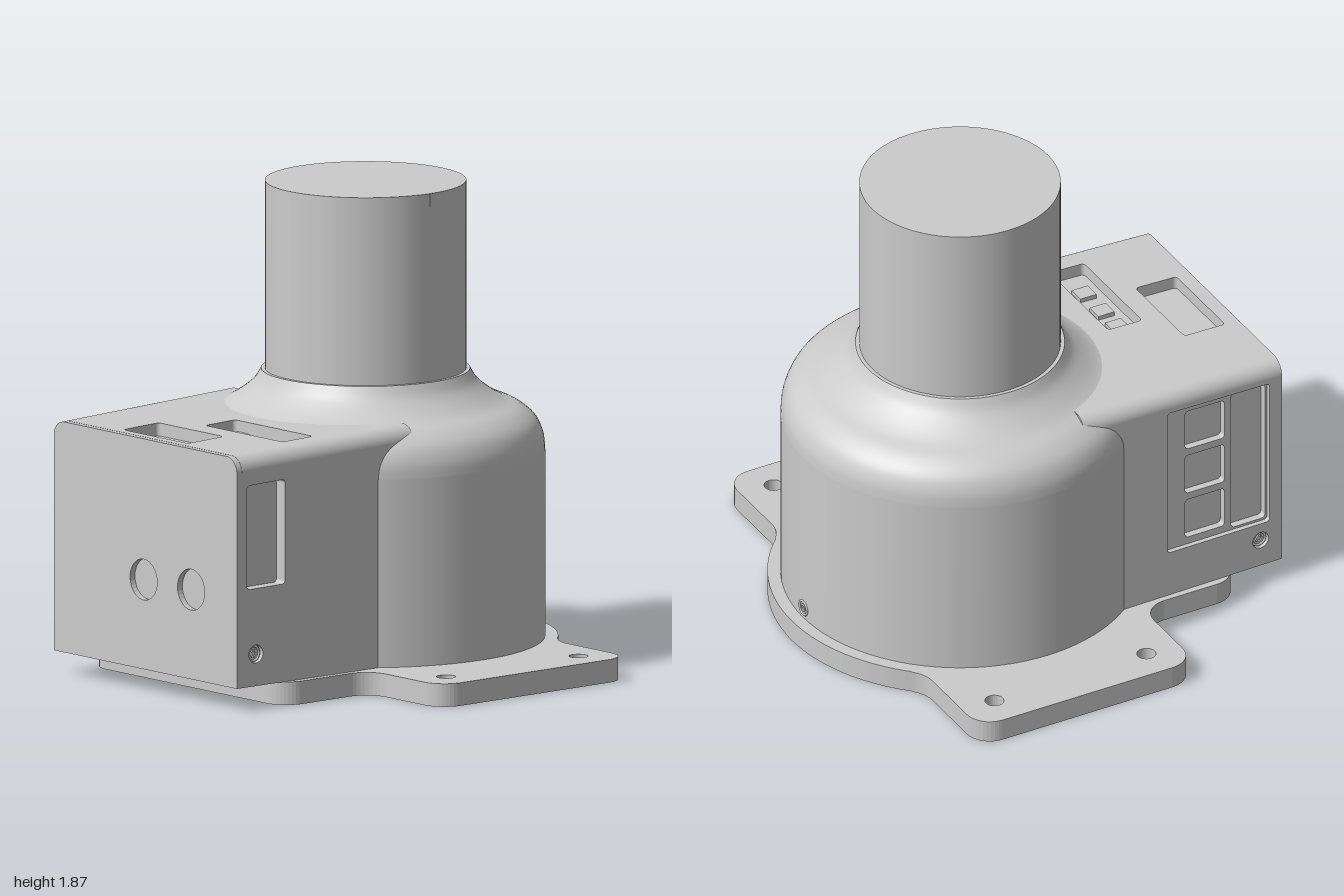
import * as THREE from 'three';

const CX = 0.185;          // axis of the round housing
const X0 = -0.93, X1 = -0.05, Y0 = 0.09, Y1 = 0.99, ZW = 0.54, R = 0.06, T = 0.05;

const material = new THREE.MeshStandardMaterial({ color: 0xcccccc, roughness: 0.7 });

function add(group, name, geometry, x = 0, y = 0, z = 0) {
  const mesh = new THREE.Mesh(geometry, material);
  mesh.name = name;
  mesh.position.set(x, y, z);
  group.add(mesh);
  return mesh;
}

// Rectangle with optional rounded corners
function rect(a, b, c, d, r = 0, Type = THREE.Shape) {
  const s = new Type();
  if (!r) {
    s.moveTo(a, c); s.lineTo(b, c); s.lineTo(b, d); s.lineTo(a, d); s.closePath();
    return s;
  }
  s.absarc(b - r, c + r, r, -Math.PI / 2, 0);
  s.absarc(b - r, d - r, r, 0, Math.PI / 2);
  s.absarc(a + r, d - r, r, Math.PI / 2, Math.PI);
  s.absarc(a + r, c + r, r, Math.PI, Math.PI * 1.5);
  s.closePath();
  return s;
}
const rectHole = (a, b, c, d) => rect(a, b, c, d, 0.015, THREE.Path);
const roundHole = (x, y, r) => new THREE.Path().absarc(x, y, r, 0, Math.PI * 2, true);

function slab(shape, depth, holes = []) {
  shape.holes.push(...holes);
  return new THREE.ExtrudeGeometry(shape, { depth, bevelEnabled: false, curveSegments: 16 });
}

// The side box widens and rises slightly toward the round housing
function flare(geometry) {
  const p = geometry.attributes.position;
  for (let i = 0; i < p.count; i++) {
    const t = (p.getX(i) - X0) / 0.7;
    p.setY(i, p.getY(i) + 0.02 * t * (p.getY(i) - Y0) / (Y1 - Y0));
    p.setZ(i, p.getZ(i) * (1 + 0.025 * t));
  }
  return geometry;
}

// Mounting plate: two lugs, a round edge and a tongue under the box
function basePlate() {
  const half = [];
  const arc = (cx, cy, r, a0, a1, n = 10) => {
    for (let i = 0; i <= n; i++) {
      const a = (a0 + (a1 - a0) * i / n) * Math.PI / 180;
      half.push(new THREE.Vector2(cx + r * Math.cos(a), cy + r * Math.sin(a)));
    }
  };
  arc(CX, 0, 0.74, 0, 46, 24);
  arc(0.79, 0.63, 0.13, 226, 180, 6);
  arc(0.56, 0.9, 0.1, 0, 90);
  arc(-0.19, 0.9, 0.1, 90, 180);
  arc(-0.39, 0.675, 0.1, 0, -90);
  arc(-0.625, 0.475, 0.1, 90, 180);
  const mirrored = half.slice(1).reverse().map(p => new THREE.Vector2(p.x, -p.y));
  const holes = [];
  for (const x of [-0.15, 0.52]) for (const z of [-0.865, 0.865]) holes.push(roundHole(x, z, 0.037));
  for (let i = 0; i < 6; i++) {
    const a = i * Math.PI / 3;
    holes.push(roundHole(CX + 0.58 * Math.cos(a), 0.58 * Math.sin(a), 0.018));
  }
  return slab(new THREE.Shape([...half, ...mirrored]), Y0, holes).rotateX(-Math.PI / 2);
}

// Screw facing +z: rim, dished head and centre pin
function screw(name) {
  const g = new THREE.Group();
  g.name = name;
  add(g, 'screwRim', new THREE.TorusGeometry(0.029, 0.005, 8, 24));
  add(g, 'screwHead', new THREE.CylinderGeometry(0.028, 0.028, 0.02, 24).rotateX(Math.PI / 2), 0, 0, -0.01);
  add(g, 'screwSocket', new THREE.TorusGeometry(0.014, 0.004, 6, 6));
  return g;
}

export function createModel() {
  const model = new THREE.Group();
  model.name = 'columnHousing';

  add(model, 'basePlate', basePlate());

  // Round housing with a bulging shoulder sweeping up into the neck
  const shoulder = new THREE.SplineCurve([
    [0.69, 0.82], [0.683, 0.88], [0.655, 0.94], [0.6, 0.985], [0.53, 1.015],
    [0.475, 1.05], [0.43, 1.09], [0.402, 1.135],
  ].map(p => new THREE.Vector2(...p))).getPoints(32);
  add(model, 'roundHousing', new THREE.LatheGeometry([new THREE.Vector2(0.69, Y0), ...shoulder], 96), CX);
  add(model, 'neckRim', new THREE.CylinderGeometry(0.402, 0.402, 0.02, 96), CX, 1.126);

  // Column with its small index mark at the top front
  add(model, 'column', new THREE.CylinderGeometry(0.387, 0.387, 0.77, 96), CX, 1.485);
  add(model, 'indexMark', new THREE.BoxGeometry(0.012, 0.05, 0.008), CX, 1.843, 0.386);

  // Side box: core forms the floor of every pocket, walls are laid around it
  const box = new THREE.Group();
  box.name = 'sideBox';
  model.add(box);
  const xi = X0 + 0.025, length = X1 - xi, zi = ZW - T, yi = Y1 - T;
  add(box, 'boxCore', flare(new THREE.BoxGeometry(length, yi - Y0, 2 * zi)
    .translate((xi + X1) / 2, (yi + Y0) / 2, 0)));

  add(box, 'frontWall', flare(slab(rect(xi, X1, Y0, Y1 - R), T, [
    rectHole(-0.88, -0.69, 0.47, 0.875), roundHole(-0.835, 0.215, 0.035),
  ]).translate(0, 0, zi)));

  add(box, 'topWall', flare(slab(rect(xi, X1, -ZW + R, ZW - R), T, [
    rectHole(-0.87, -0.69, -0.18, 0.2), rectHole(-0.6, -0.45, -0.42, 0.03),
  ]).rotateX(-Math.PI / 2).translate(0, yi, 0)));

  // Back wall: a wide shallow recess holding one tall and three square openings
  add(box, 'backWallOuter', flare(slab(rect(xi, X1, Y0, Y1 - R), 0.02, [
    rectHole(-0.875, -0.42, 0.28, 0.91), roundHole(-0.835, 0.205, 0.035),
  ]).translate(0, 0, -ZW)));
  const openings = [rectHole(-0.865, -0.715, 0.29, 0.9)];
  for (let i = 0; i < 3; i++) openings.push(rectHole(-0.685, -0.51, 0.31 + i * 0.2, 0.48 + i * 0.2));
  add(box, 'backWallInner', flare(slab(rect(xi, X1, Y0, Y1 - R), T - 0.02, [
    ...openings, roundHole(-0.835, 0.205, 0.035),
  ]).translate(0, 0, -ZW + 0.02)));

  // Rounded upper edges
  for (const s of [-1, 1]) {
    const quarter = new THREE.Shape();
    quarter.moveTo(s * (ZW - R), Y1 - R);
    quarter.absarc(s * (ZW - R), Y1 - R, R, s > 0 ? 0 : Math.PI, Math.PI / 2, s < 0);
    quarter.closePath();
    add(box, 'roundedEdge', flare(slab(quarter, length).rotateY(-Math.PI / 2).translate(X1, 0, 0)));
  }

  // End panel with two round knockouts
  const end = new THREE.Shape();
  end.moveTo(-ZW, Y0);
  end.lineTo(ZW, Y0);
  end.absarc(ZW - R, Y1 - R, R, 0, Math.PI / 2);
  end.absarc(-ZW + R, Y1 - R, R, Math.PI / 2, Math.PI);
  end.closePath();
  add(box, 'endPanel', slab(end, xi - X0, [roundHole(-0.01, 0.44, 0.08), roundHole(0.27, 0.44, 0.08)])
    .rotateY(-Math.PI / 2).translate(xi, 0, 0));

  // Small steps inside the second top pocket
  for (const z of [0.03, 0.15, 0.29]) add(box, 'pocketStep', new THREE.BoxGeometry(0.07, 0.02, 0.07), -0.525, yi + 0.018, z);

  // Screws on the front, back and the round side
  const front = screw('frontScrew');
  front.position.set(-0.835, 0.215, ZW - 0.015);
  const back = screw('backScrew');
  back.position.set(-0.835, 0.205, -ZW + 0.015);
  back.rotation.y = Math.PI;
  const side = screw('sideScrew');
  side.position.set(CX + 0.69, 0.135, 0);
  side.rotation.y = Math.PI / 2;
  model.add(front, back, side);

  return model;
}
